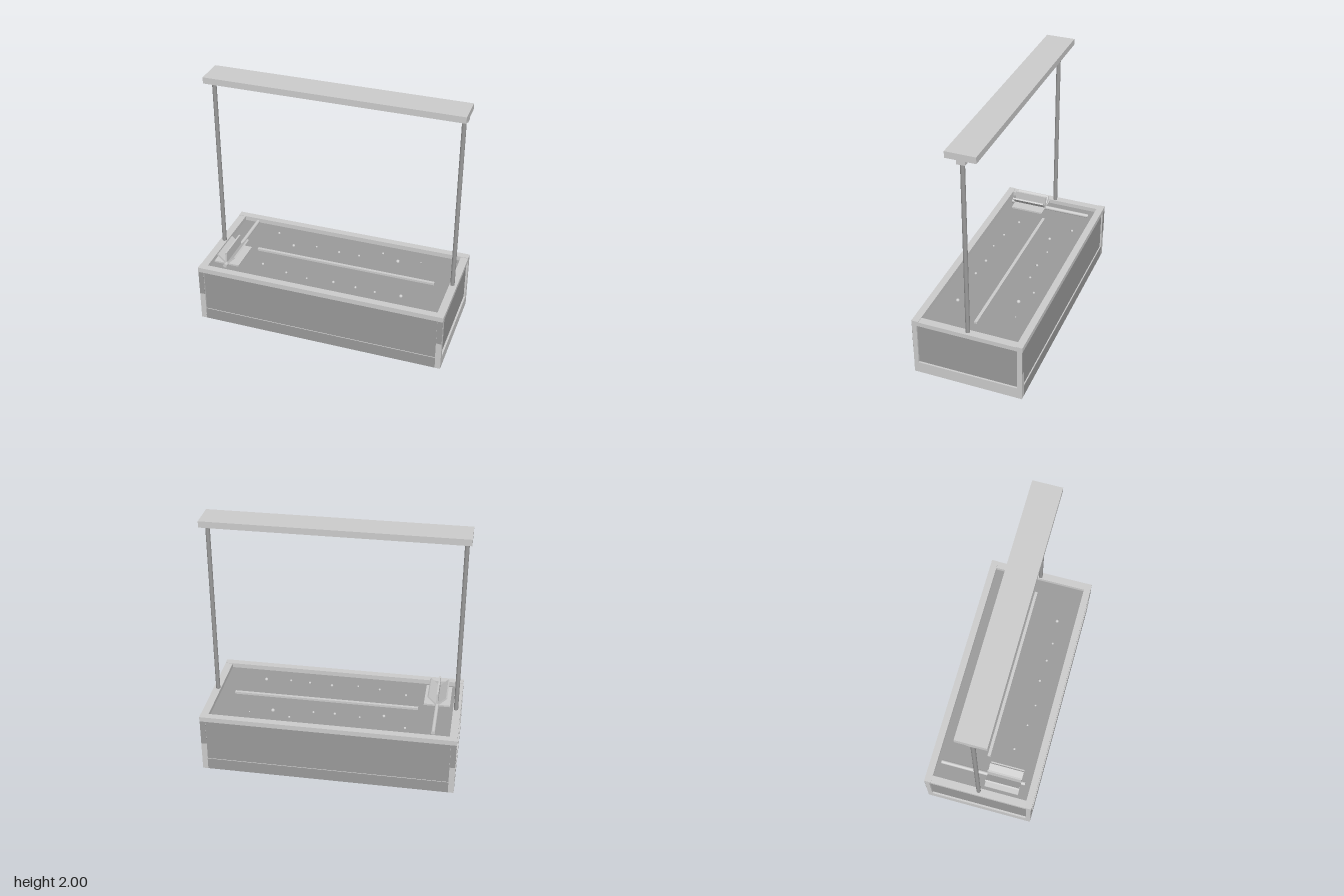
import * as THREE from 'three';

export function createModel() {
  const model = new THREE.Group();
  const frameGrey = new THREE.MeshStandardMaterial({ color: 0xcccccc });
  frameGrey.name = 'light grey';
  const panelGrey = new THREE.MeshStandardMaterial({ color: 0x9a9a9a });
  panelGrey.name = 'mid grey';

  function add(name, geometry, material, x = 0, y = 0, z = 0, parent = model) {
    const mesh = new THREE.Mesh(geometry, material);
    mesh.name = name;
    mesh.position.set(x, y, z);
    parent.add(mesh);
    return mesh;
  }
  // Box given by its lower and upper limits on each axis
  function block(name, material, x0, x1, y0, y1, z0, z1) {
    return add(name, new THREE.BoxGeometry(x1 - x0, y1 - y0, z1 - z0), material,
      (x0 + x1) / 2, (y0 + y1) / 2, (z0 + z1) / 2);
  }
  const span = (s, a, b) => (s > 0 ? [a, b] : [-b, -a]);

  // Tank body, its top is the planting surface and its floor is raised
  block('tankBody', panelGrey, -0.985, 0.985, 0.085, 0.452, -0.425, 0.425);

  for (const s of [-1, 1]) {
    // Long rails at front and back
    block('longBottomRail', frameGrey, -0.955, 0.955, 0, 0.092, ...span(s, 0.4, 0.435));
    block('longBottomFacing', panelGrey, -0.957, 0.957, 0, 0.095, ...span(s, 0.434, 0.437));
    block('longTopRail', frameGrey, -1, 1, 0.45, 0.49, ...span(s, 0.385, 0.44));

    // Short rails at the sides
    block('sideBottomRail', frameGrey, ...span(s, 0.955, 1), 0, 0.095, -0.4, 0.4);
    block('sideTopRail', frameGrey, ...span(s, 0.94, 1), 0.45, 0.486, -0.385, 0.385);

    // Corner posts with their darker upper facings
    for (const t of [-1, 1]) {
      block('cornerPost', frameGrey, ...span(s, 0.955, 1), 0, 0.45, ...span(t, 0.4, 0.437));
      block('cornerFacing', panelGrey, ...span(s, 0.956, 0.999), 0.24, 0.45, ...span(t, 0.436, 0.439));
    }

    // Lamp supports
    add('lampPole', new THREE.CylinderGeometry(0.017, 0.017, 1.48, 16), panelGrey, s * 0.963, 1.18, 0);
    block('lampBracket', frameGrey, ...span(s, 0.932, 0.994), 1.915, 1.951, -0.031, 0.031);
  }

  // Overhead lamp
  block('lampBar', frameGrey, -1, 1, 1.95, 2, -0.115, 0.115);

  // Long strip on the planting surface
  block('centreStrip', frameGrey, -0.665, 0.82, 0.45, 0.47, -0.012, 0.012);

  // Paddle wheel, half sunk in the surface
  const wheel = new THREE.Group();
  wheel.name = 'paddleWheel';
  wheel.position.set(-0.81, 0.484, 0);
  model.add(wheel);
  const axle = add('axle', new THREE.CylinderGeometry(0.016, 0.016, 0.69, 16), frameGrey, 0, 0, -0.005, wheel);
  axle.rotation.x = Math.PI / 2;
  for (let i = 0; i < 5; i++) {
    const a = (i * Math.PI) / 4;
    const blade = add('blade', new THREE.BoxGeometry(0.092, 0.014, 0.275), frameGrey,
      Math.cos(a) * 0.058, Math.sin(a) * 0.058, 0.17, wheel);
    blade.rotation.z = a;
  }

  // Scattered pebbles: x, z, radius
  const pebbles = [
    [-0.59, -0.28, 0.011], [-0.41, -0.145, 0.013], [-0.225, -0.19, 0.009], [-0.025, -0.175, 0.011],
    [0.145, -0.18, 0.01], [0.32, -0.275, 0.01], [0.465, -0.205, 0.016], [0.645, -0.25, 0.006],
    [-0.55, 0.18, 0.011], [-0.33, 0.23, 0.01], [-0.15, 0.25, 0.009], [0.065, 0.23, 0.012],
    [0.25, 0.24, 0.011], [0.41, 0.25, 0.01], [0.615, 0.235, 0.015],
  ];
  for (const [x, z, r] of pebbles) {
    add('pebble', new THREE.SphereGeometry(r, 12, 8), frameGrey, x, 0.455, z);
  }
  return model;
}
